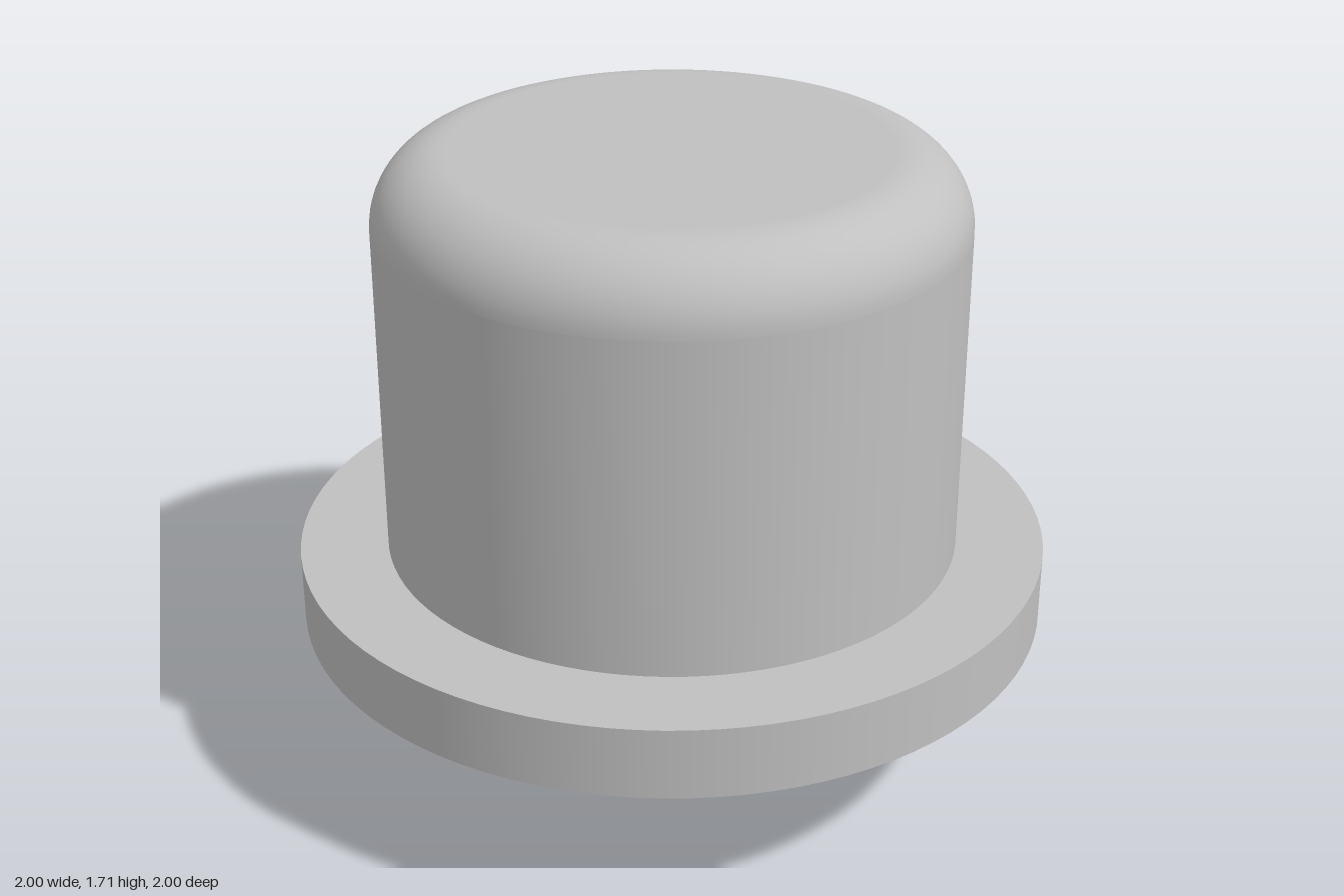
import * as THREE from 'three';

const SEGMENTS = 96;

export function createModel() {
  const group = new THREE.Group();
  group.name = 'plungerButton';
  const grey = new THREE.MeshStandardMaterial({ color: 0xc0c0c0 });
  grey.name = 'plain grey';

  const add = (name, geometry, y = 0) => {
    const mesh = new THREE.Mesh(geometry, grey);
    mesh.name = name;
    mesh.position.y = y;
    group.add(mesh);
  };

  // Upright disc between two heights
  const disc = (name, radius, bottom, top) =>
    add(name, new THREE.CylinderGeometry(radius, radius, top - bottom, SEGMENTS), (bottom + top) / 2);

  disc('stem', 0.192, 0, 0.425);
  disc('flange', 1, 0.425, 0.618);

  // Cap: straight wall, quarter-round shoulder, flat top
  const radius = 0.767, top = 1.706, fillet = 0.192, steps = 16;
  const profile = [new THREE.Vector2(radius, 0.618), new THREE.Vector2(radius, top - fillet - 0.002)];
  for (let i = 0; i <= steps; i++) {
    const a = (i / steps) * Math.PI / 2;
    profile.push(new THREE.Vector2(
      radius - fillet + fillet * Math.cos(a),
      top - fillet + fillet * Math.sin(a)));
  }
  profile.push(new THREE.Vector2(radius - fillet - 0.002, top), new THREE.Vector2(0, top));
  add('cap', new THREE.LatheGeometry(profile, SEGMENTS));

  return group;
}
